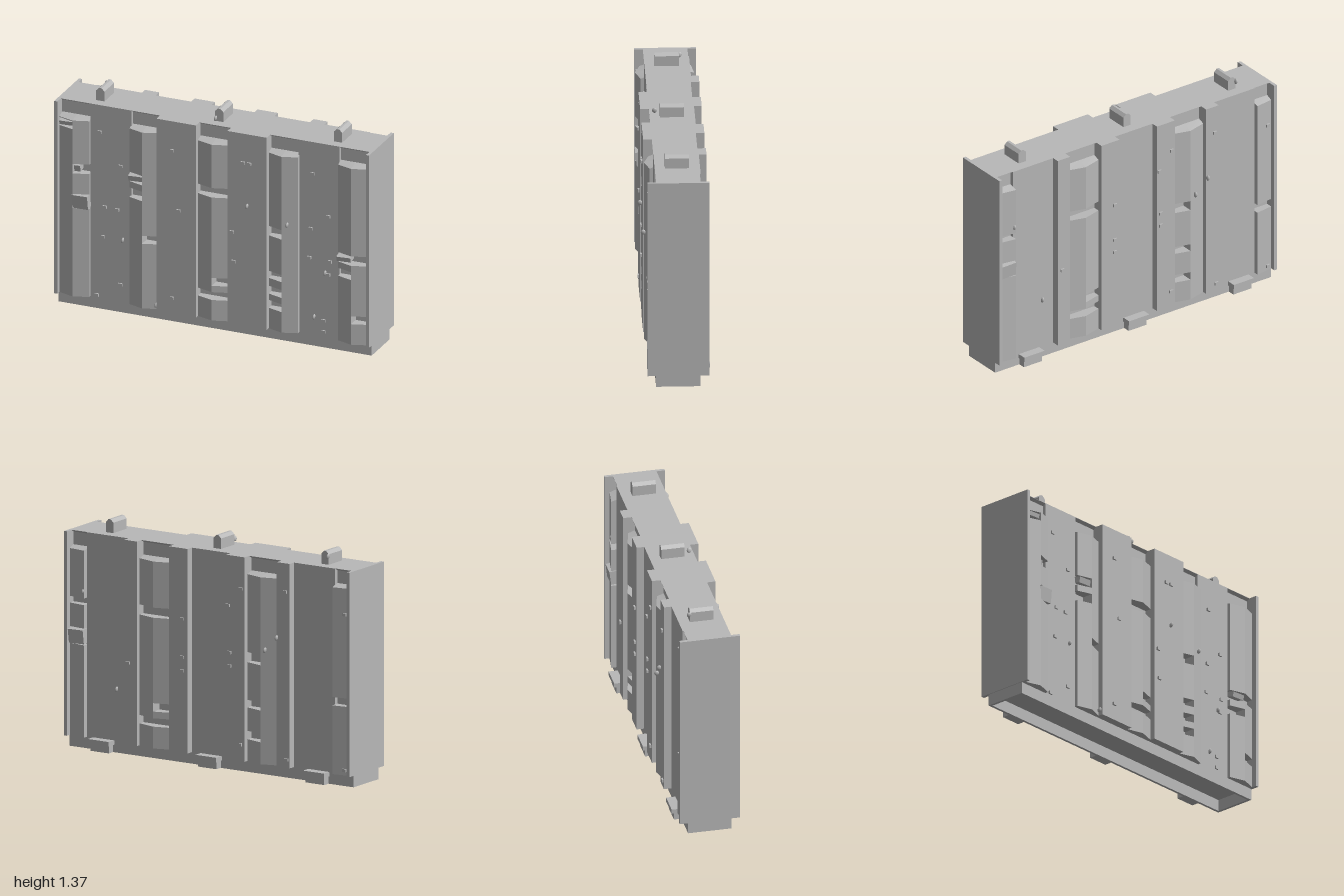
import * as THREE from 'three';

const stone = new THREE.MeshStandardMaterial({ color: 0xb8b8b8 });
stone.name = 'grey stone';

const CORE = 0.11, WALL = 0.13, FACE = 0.18, BASE = 0.07, TOP = 1.29, CAP = 1.2;

function add(parent, geometry, name) {
  const m = new THREE.Mesh(geometry, stone);
  m.name = name;
  parent.add(m);
  return m;
}

function block(parent, name, x0, x1, y0, y1, z0, z1) {
  const m = add(parent, new THREE.BoxGeometry(x1 - x0, y1 - y0, z1 - z0), name);
  m.position.set((x0 + x1) / 2, (y0 + y1) / 2, (z0 + z1) / 2);
  return m;
}

// Block from xa to xb whose outer face runs from depth za to zb;
// f(outer, upper, right) gives [y, z] of each corner
function wedge(parent, name, xa, xb, f) {
  const g = new THREE.BoxGeometry(1, 1, 1);
  const p = g.attributes.position;
  for (let i = 0; i < p.count; i++) {
    const right = p.getX(i) > 0;
    const [y, z] = f(p.getZ(i) > 0, p.getY(i) > 0, right);
    p.setXYZ(i, right ? xb : xa, y, z);
  }
  g.computeVertexNormals();
  return add(parent, g, name);
}

// Half of a ridged pilaster, interrupted by missing bricks
function halfPilaster(parent, xa, xb, za, zb, gaps) {
  let y = BASE;
  for (const [g0, g1] of [...gaps, [CAP, CAP]]) {
    const bottom = y, isCap = g0 === CAP;
    wedge(parent, 'pilaster', xa, xb, (outer, upper, right) => [
      upper ? g0 - (isCap && outer ? 0.015 : 0) : bottom,
      outer ? (right ? zb : za) : CORE,
    ]);
    y = g1;
  }
}

// Sloping lip over the niche above a pilaster
function lip(parent, x0, x1) {
  wedge(parent, 'nicheLip', x0, x1, (outer, upper) => [
    upper ? TOP : outer ? TOP - 0.002 : TOP - 0.02, outer ? WALL : CORE - 0.01]);
}

function pilaster(parent, x0, x1, left, right, edge = 0.15) {
  const m = (x0 + x1) / 2;
  halfPilaster(parent, x0, m, edge, FACE, left);
  halfPilaster(parent, m, x1, FACE, edge, right);
  lip(parent, x0, x1);
}

function studs(parent, list) {
  for (const [x, y, z] of list)
    block(parent, 'stud', x - 0.012, x + 0.012, y - 0.009, y + 0.009, z - 0.02, z + 0.01);
}

function pebble(parent, x, y, z, r = 0.016) {
  const m = add(parent, new THREE.SphereGeometry(r, 12, 8), 'pebble');
  m.position.set(x, y, z);
  m.scale.set(0.5, 1.05, 0.9);
  m.rotation.z = -0.2;
}

function looseBrick(parent, x, y, z, w, h, tilt) {
  const m = add(parent, new THREE.BoxGeometry(w, h, 0.05), 'looseBrick');
  m.position.set(x, y, z);
  m.rotation.set(tilt, 0, tilt * 0.2);
}

function frontSide() {
  const g = new THREE.Group();
  g.name = 'frontSide';
  for (const s of [-1, 1]) {
    block(g, 'wallPanel', s * 0.66 - 0.13, s * 0.66 + 0.13, BASE, TOP, CORE, WALL);
    block(g, 'raisedPanel', s * 0.225 - 0.125, s * 0.225 + 0.125, BASE, TOP, CORE, FACE);
  }
  pilaster(g, -0.98, -0.79, [[1.13, 1.18]], [[0.63, 0.72], [0.85, 0.91]]);
  pilaster(g, -0.535, -0.35, [[0.75, 0.81], [0.85, 0.91]], [[0.48, 0.53]]);
  pilaster(g, -0.1, 0.1, [[0.2, 0.25], [0.85, 0.91]], [[0.2, 0.25], [0.29, 0.34], [0.85, 0.91]]);
  pilaster(g, 0.35, 0.535, [[0.2, 0.25], [0.29, 0.34], [0.39, 0.435], [0.66, 0.72]], []);
  pilaster(g, 0.79, 0.98, [[0.48, 0.53], [0.57, 0.63]], [[0.2, 0.25], [0.57, 0.63]]);

  // Shifted bricks
  looseBrick(g, -0.84, 0.675, 0.152, 0.1, 0.085, 0.12);
  looseBrick(g, -0.49, 0.885, 0.145, 0.09, 0.035, 0.25);
  looseBrick(g, -0.93, 1.162, 0.145, 0.085, 0.025, 0.2);
  looseBrick(g, 0.835, 0.605, 0.15, 0.09, 0.03, 0.25);
  looseBrick(g, -0.865, 0.88, 0.13, 0.04, 0.04, 0.2);

  const w = WALL, f = FACE;
  studs(g, [
    [-0.73, 1.12, w], [-0.6, 0.925, w], [-0.7, 0.65, w], [-0.62, 0.645, w], [-0.71, 0.46, w],
    [-0.6, 0.175, w], [-0.75, 0.085, w], [0.62, 1.09, w], [0.72, 0.835, w], [0.61, 0.74, w],
    [0.6, 0.555, w], [0.73, 0.55, w], [0.72, 0.465, w], [0.69, 0.17, w], [0.69, 0.1, w],
    [-0.25, 1.105, f], [-0.21, 0.73, f], [-0.25, 0.17, f], [0.2, 1.105, f], [0.24, 1.105, f],
    [0.13, 0.655, f], [0.14, 0.47, f],
  ]);
  pebble(g, 0.23, 0.84, 0.195);
  pebble(g, 0.48, 0.76, 0.185);
  pebble(g, -0.585, 0.46, 0.135);
  pebble(g, 0.7, 0.475, 0.135);
  pebble(g, 0.63, 0.185, 0.135);
  pebble(g, -0.36, 0.1, 0.165);
  pebble(g, -0.01, 1.32, 0.1);
  return g;
}

// Built facing +z, then turned round
function backSide() {
  const g = new THREE.Group();
  g.name = 'backSide';
  block(g, 'wallPanel', -0.135, 0.135, BASE, TOP, CORE, 0.135);
  for (const s of [-1, 1]) {
    block(g, 'wallPanel', s * 0.725 - 0.145, s * 0.725 + 0.145, BASE, TOP, CORE, 0.135);
    block(g, 'raisedPanel', s * 0.2 - 0.065, s * 0.2 + 0.065, BASE, TOP, CORE, FACE);
    block(g, 'raisedPanel', s * 0.535 - 0.045, s * 0.535 + 0.045, BASE, TOP, CORE, FACE);
  }
  pilaster(g, -0.49, -0.265, [[0.2, 0.25], [0.85, 0.91]], [[0.2, 0.25], [0.29, 0.34], [0.85, 0.91]]);
  pilaster(g, 0.265, 0.49, [[0.2, 0.25], [0.39, 0.435], [0.66, 0.72]], []);
  halfPilaster(g, -0.98, -0.87, 0.15, 0.165, [[0.62, 0.72], [0.86, 0.9]]);
  halfPilaster(g, 0.87, 0.98, 0.165, 0.15, [[0.48, 0.53]]);
  lip(g, -0.98, -0.87);
  lip(g, 0.87, 0.98);
  looseBrick(g, -0.925, 0.67, 0.145, 0.105, 0.085, 0.12);

  // Feet with a slightly wider cap
  for (const x of [-0.755, 0, 0.755]) {
    block(g, 'foot', x - 0.065, x + 0.065, 0, 0.05, WALL - 0.005, 0.175);
    block(g, 'footCap', x - 0.073, x + 0.073, 0.045, 0.072, WALL - 0.005, 0.19);
  }

  const f = FACE;
  studs(g, [
    [-0.17, 0.87, f], [-0.17, 0.64, f], [-0.17, 0.56, f], [0.15, 0.99, f], [0.16, 0.71, f],
    [0.16, 0.63, f], [0.24, 1.1, f], [0.235, 0.17, f], [0.55, 1.12, f], [0.56, 0.12, f],
    [-0.55, 0.56, f], [0.95, 1.03, 0.155], [0.95, 0.1, 0.155],
  ]);
  pebble(g, 0.41, 0.755, 0.185);
  pebble(g, 0.495, 0.84, 0.19);
  pebble(g, -0.88, 0.94, 0.16);
  pebble(g, -0.66, 0.38, 0.138);
  pebble(g, 0.78, 1.34, 0.075);
  g.rotation.y = Math.PI;
  return g;
}

export function createModel() {
  const model = new THREE.Group();
  model.name = 'wallSection';

  // Core and end plates
  block(model, 'core', -0.99, 0.99, BASE, TOP, -CORE, CORE);
  for (const s of [-1, 1])
    block(model, 'endPlate', s * 0.99 - 0.01, s * 0.99 + 0.01, BASE, TOP, -FACE, FACE);

  // Hollow plinth, open below
  for (const s of [-1, 1]) {
    block(model, 'plinthSide', -0.995, 0.995, 0, BASE, s * 0.122 - 0.008, s * 0.122 + 0.008);
    block(model, 'plinthEnd', s * 0.987 - 0.008, s * 0.987 + 0.008, 0, BASE, -0.114, 0.114);
  }

  // Connector bars with a bevelled top
  const profile = new THREE.Shape([[-0.026, 0], [0.026, 0], [0.026, 0.062], [0.008, 0.08],
    [-0.008, 0.08], [-0.026, 0.062]].map(([x, y]) => new THREE.Vector2(x, y)));
  for (const x of [-0.755, 0, 0.755]) {
    const bar = add(model, new THREE.ExtrudeGeometry(profile, { depth: 0.14, bevelEnabled: false }), 'topBar');
    bar.position.set(x, TOP, -0.07);
  }

  model.add(frontSide(), backSide());
  return model;
}
